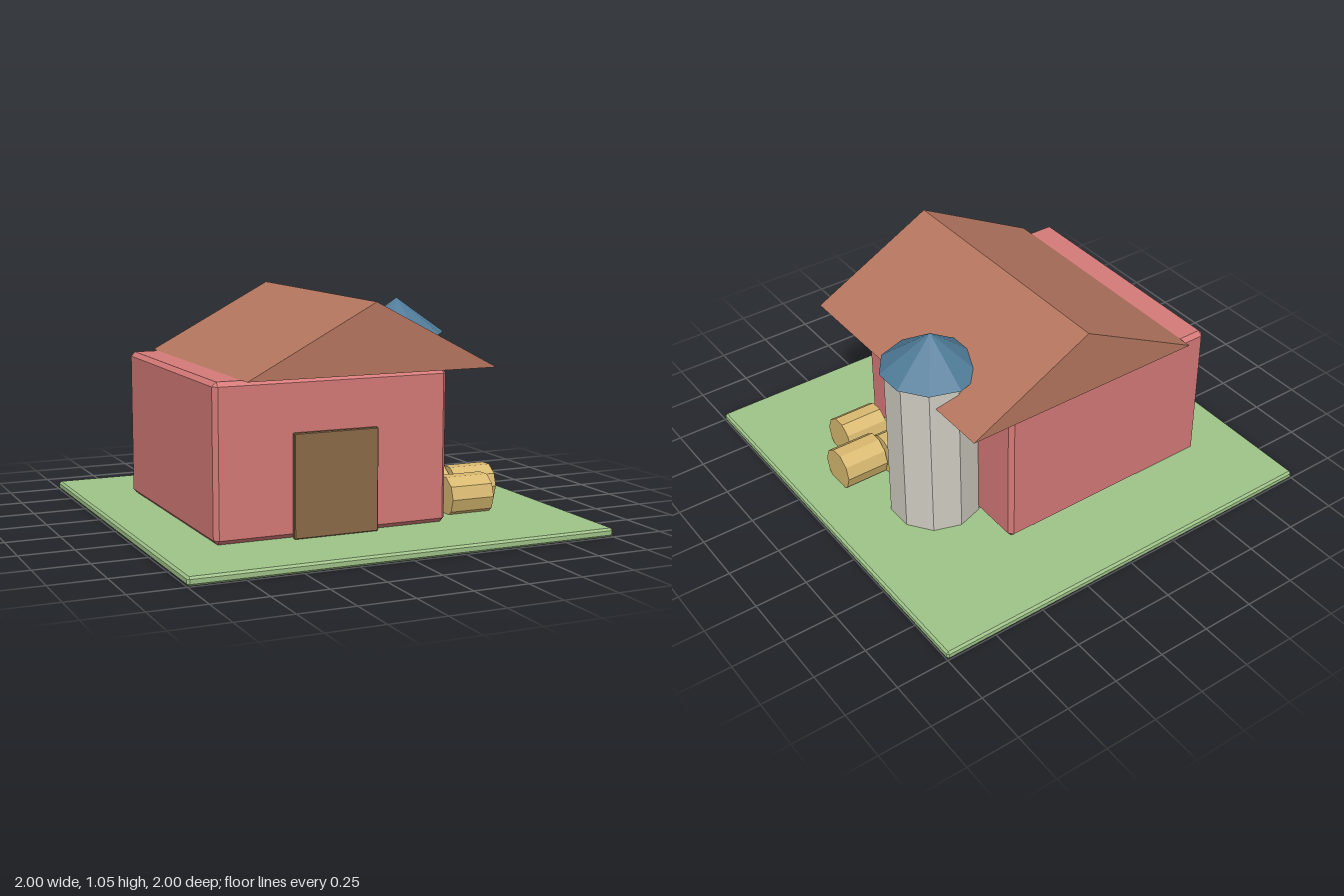
import * as THREE from 'three';
import { ConvexGeometry } from 'three/addons/geometries/ConvexGeometry.js';

const GROUND = 0.04; // height of the lawn surface

function part(name, geometry, color, x = 0, y = 0, z = 0) {
  const material = new THREE.MeshStandardMaterial({ color, flatShading: true });
  const mesh = new THREE.Mesh(geometry, material);
  mesh.name = name;
  mesh.position.set(x, y, z);
  return mesh;
}

// Box with every edge cut by one flat chamfer of width c
function chamferBox(w, h, d, c) {
  const points = [];
  for (const sx of [-1, 1]) for (const sy of [-1, 1]) for (const sz of [-1, 1]) {
    const X = w / 2, Y = h / 2, Z = d / 2;
    points.push(
      new THREE.Vector3(sx * X, sy * (Y - c), sz * (Z - c)),
      new THREE.Vector3(sx * (X - c), sy * Y, sz * (Z - c)),
      new THREE.Vector3(sx * (X - c), sy * (Y - c), sz * Z)
    );
  }
  return new ConvexGeometry(points);
}

export function createModel() {
  const model = new THREE.Group();
  model.name = 'farm';

  // Lawn
  model.add(part('ground', chamferBox(2, GROUND, 2, 0.01), 0x9fc388, 0, GROUND / 2, 0));

  // Barn body and front door
  model.add(part('barnWalls', chamferBox(1.11, 0.7, 1.18, 0.02), 0xd57a78, -0.18, GROUND + 0.35, 0));
  model.add(part('barnDoor', chamferBox(0.4, 0.465, 0.024, 0.004), 0x8c6a48, -0.18, GROUND + 0.2325, 0.608));

  // Gable roof, a solid triangular prism
  const gable = new THREE.Shape([
    new THREE.Vector2(-0.6, 0),
    new THREE.Vector2(0.6, 0),
    new THREE.Vector2(0, 0.315),
  ]);
  const roof = new THREE.ExtrudeGeometry(gable, { depth: 1.27, bevelEnabled: false });
  roof.translate(0, 0, -0.635);
  model.add(part('barnRoof', roof, 0xb5765f, 0, 0.74, 0));

  // Silo
  const silo = new THREE.Group();
  silo.name = 'silo';
  silo.position.set(0.5, GROUND, -0.165);
  silo.add(part('siloBody', new THREE.CylinderGeometry(0.215, 0.215, 0.785, 10), 0xcfccc0, 0, 0.3925, 0));
  silo.add(part('siloRoof', new THREE.ConeGeometry(0.235, 0.17, 10), 0x4f7a97, 0, 0.87, 0));
  model.add(silo);

  // Round hay bales lying along x, slightly sunk into the lawn
  const bale = new THREE.CylinderGeometry(0.1, 0.1, 0.215, 10).rotateZ(-Math.PI / 2);
  for (const [x, z] of [[0.563, 0.413], [0.692, 0.215], [0.466, 0.185]]) {
    model.add(part('hayBale', bale, 0xd9b970, x, 0.115, z));
  }

  return model;
}
